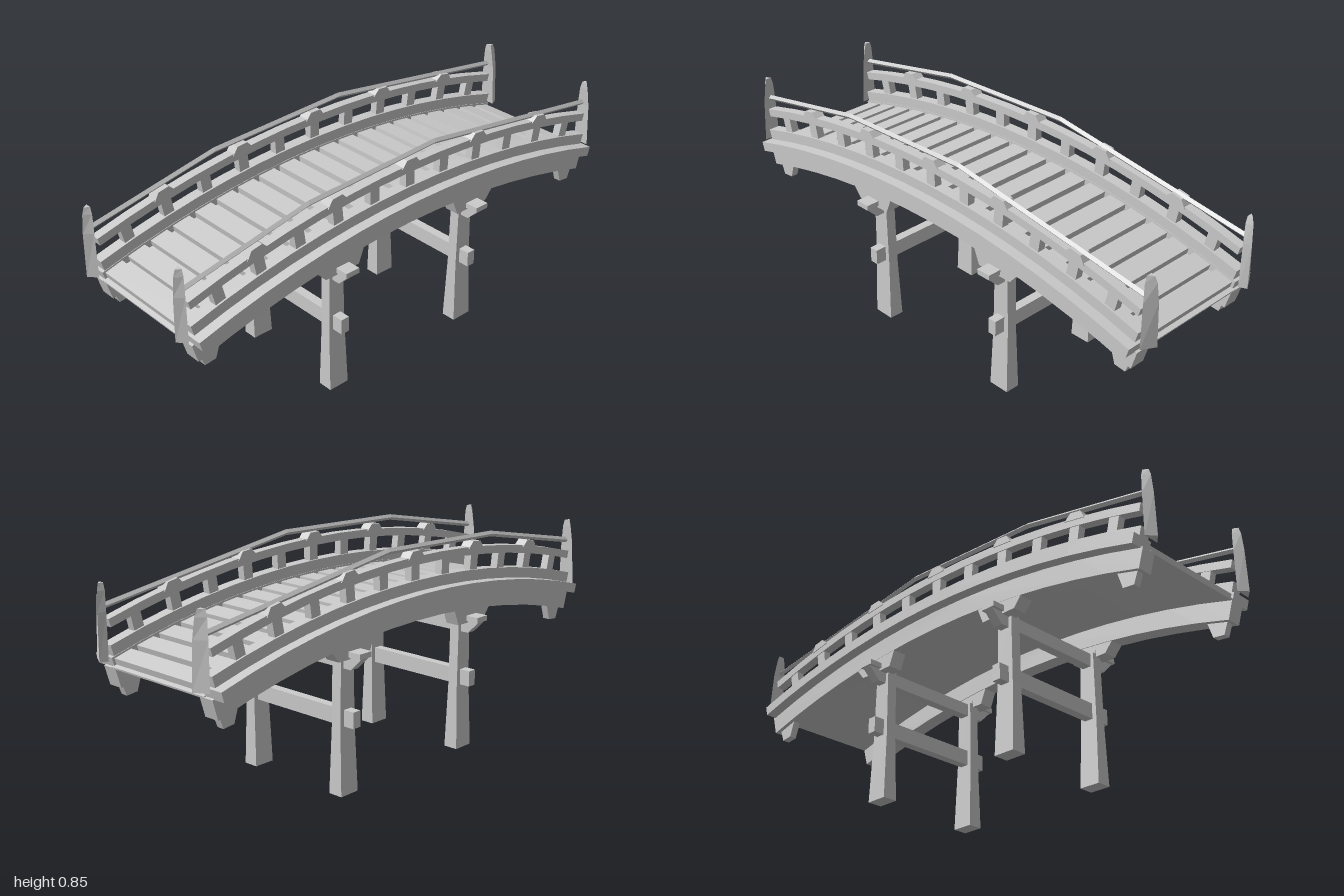
import * as THREE from 'three';

const material = new THREE.MeshStandardMaterial({ color: 0xcccccc, flatShading: true });
const CY = -2.81; // centre height of the circles that shape the arch

// Point on the arch: y is the height at mid span, a the angle from it
const arc = (y, a) => new THREE.Vector2((y - CY) * Math.sin(a), CY + (y - CY) * Math.cos(a));

function add(parent, name, geometry, x = 0, y = 0, z = 0) {
  const mesh = new THREE.Mesh(geometry, material);
  mesh.name = name;
  mesh.position.set(x, y, z);
  parent.add(mesh);
  return mesh;
}

// Flat outline in x and y, given depth in z around the middle
function slab(points, depth) {
  const g = new THREE.ExtrudeGeometry(new THREE.Shape(points), { depth, bevelEnabled: false });
  return g.translate(0, 0, -depth / 2);
}

const outline = (pairs) => pairs.map(([x, y]) => new THREE.Vector2(x, y));

// Curved strip along the arch between two angles
function archStrip(y0, y1, a0, a1, depth, segments) {
  const points = [];
  for (let i = 0; i <= segments; i++) points.push(arc(y0, a0 + ((a1 - a0) * i) / segments));
  for (let i = segments; i >= 0; i--) points.push(arc(y1, a0 + ((a1 - a0) * i) / segments));
  return slab(points, depth);
}

function fullStrip(y0, y1, depth) {
  const a = Math.asin(0.954 / (y1 - CY));
  return archStrip(y0, y1, -a, a, depth, 14);
}

// Closed solid through rings, each counterclockwise seen from the last ring's end
function loft(rings) {
  const n = rings[0].length;
  const index = [];
  for (let r = 0; r < rings.length - 1; r++) {
    for (let i = 0; i < n; i++) {
      const a = r * n + i, b = r * n + ((i + 1) % n);
      index.push(a, b, b + n, a, b + n, a + n);
    }
  }
  const last = (rings.length - 1) * n;
  for (let i = 1; i < n - 1; i++) index.push(0, i + 1, i, last, last + i, last + i + 1);
  const g = new THREE.BufferGeometry();
  g.setAttribute('position', new THREE.Float32BufferAttribute(rings.flat(2), 3));
  g.setIndex(index);
  const flat = g.toNonIndexed();
  flat.computeVertexNormals();
  return flat;
}

// Three-sided tapering post leaning inwards; apex shifts its outer edge in z
function endPost(apex) {
  const profile = [
    [0.535, 0.032, 1, 0.972], [0.7, 0.026, 0.995, 0.967],
    [0.77, 0.018, 0.988, 0.962], [0.795, 0.011, 0.98, 0.962],
  ];
  return loft(profile.map(([y, h, out, inner]) => [
    [out, y, apex * h], [inner, y, -h], [inner, y, h],
  ]));
}

function createDeck() {
  const deck = new THREE.Group();
  deck.name = 'deck';
  add(deck, 'deckBase', fullStrip(0.638, 0.645, 0.46));
  const step = 0.0965 / 3.47;
  for (let i = -10; i < 10; i++) {
    const mid = (i + 0.5) * step;
    const half = step * 0.37;
    add(deck, 'plank', archStrip(0.643, 0.668, mid - half, mid + half, 0.46, 1));
  }
  return deck;
}

function createSide(side) {
  const group = new THREE.Group();
  group.name = side > 0 ? 'frontSide' : 'backSide';

  // Arched beam with its wider cap and the feet at its ends
  add(group, 'archBeam', fullStrip(0.568, 0.642, 0.06), 0, 0, side * 0.24);
  add(group, 'beamCap', fullStrip(0.638, 0.675, 0.086), 0, 0, side * 0.269);
  for (const s of [-1, 1]) {
    const foot = [[0.83, 0.48], [0.855, 0.403], [0.9, 0.398], [0.922, 0.455]];
    const points = outline(foot.map(([x, y]) => [s * x, y]));
    add(group, 'beamFoot', slab(points, 0.028), 0, 0, side * 0.241);
  }

  // Railing: two curved rails, short posts and small saddles
  const z = side * 0.25;
  add(group, 'lowerRail', fullStrip(0.675, 0.715, 0.044), 0, 0, z);
  add(group, 'middleRail', fullStrip(0.77, 0.8, 0.036), 0, 0, z);
  for (let i = -5; i <= 5; i++) {
    const a = Math.asin((i * 0.167) / 3.55);
    const p = arc(0.742, a);
    const post = add(group, 'railPost', new THREE.BoxGeometry(0.042, 0.07, 0.03), p.x, p.y, z);
    post.rotation.z = -a;
    if (i % 2 === 0) {
      const q = arc(0.793, a);
      const saddle = slab(outline([[-0.044, 0], [0.044, 0], [0.022, 0.028], [-0.022, 0.028]]), 0.042);
      add(group, 'railSaddle', saddle, q.x, q.y, z).rotation.z = -a;
    }
  }

  // Thin handrail in straight runs with a ridged section
  const path = [[-0.957, 0.715], [-0.45, 0.814], [0.13, 0.836], [0.957, 0.715]];
  add(group, 'handrail', loft(path.map(([x, y]) => [
    [x, y + 0.011, 0], [x, y, 0.01], [x, y - 0.011, 0], [x, y, -0.01],
  ])), 0, 0, z);

  // End posts
  add(group, 'leftEndPost', endPost(-side * 0.6), 0, 0, z);
  add(group, 'rightEndPost', endPost(0), 0, 0, z).rotation.y = Math.PI;
  return group;
}

function createTrestle(x) {
  const group = new THREE.Group();
  group.name = 'trestle';
  group.position.x = x;

  // Legs flaring towards the ground
  const leg = loft([[0, 0.042, 0.029], [0.25, 0.036, 0.0205], [0.515, 0.031, 0.02]].map(
    ([y, w, d]) => [[w, y, d], [w, y, -d], [-w, y, -d], [-w, y, d]]));

  // Cross beam with slanted ends, and the tie running through the legs
  const beam = slab(outline([[-0.27, 0.462], [0.27, 0.462], [0.32, 0.512], [-0.32, 0.512]]), 0.037);
  add(group, 'crossBeam', beam.rotateY(Math.PI / 2));
  add(group, 'legTie', new THREE.BoxGeometry(0.035, 0.06, 0.56), 0, 0.283, 0);

  const sign = Math.sign(x);
  for (const side of [-1, 1]) {
    add(group, 'leg', leg, 0, 0, side * 0.216);
    add(group, 'bearingBlock', new THREE.BoxGeometry(0.058, 0.02, 0.11), 0, 0.52, side * 0.266);
    // Bracket under the arch, its top following the slope
    const bracket = [
      [-0.075, 0.502], [0.075, 0.502],
      [0.115, 0.575 - sign * 0.025], [-0.115, 0.575 + sign * 0.025],
    ];
    add(group, 'bracket', slab(outline(bracket), 0.056), 0, 0, side * 0.241);
  }
  return group;
}

export function createModel() {
  const bridge = new THREE.Group();
  bridge.name = 'archedBridge';
  bridge.add(createDeck());
  for (const side of [1, -1]) bridge.add(createSide(side));
  for (const x of [-0.32, 0.32]) bridge.add(createTrestle(x));
  return bridge;
}
